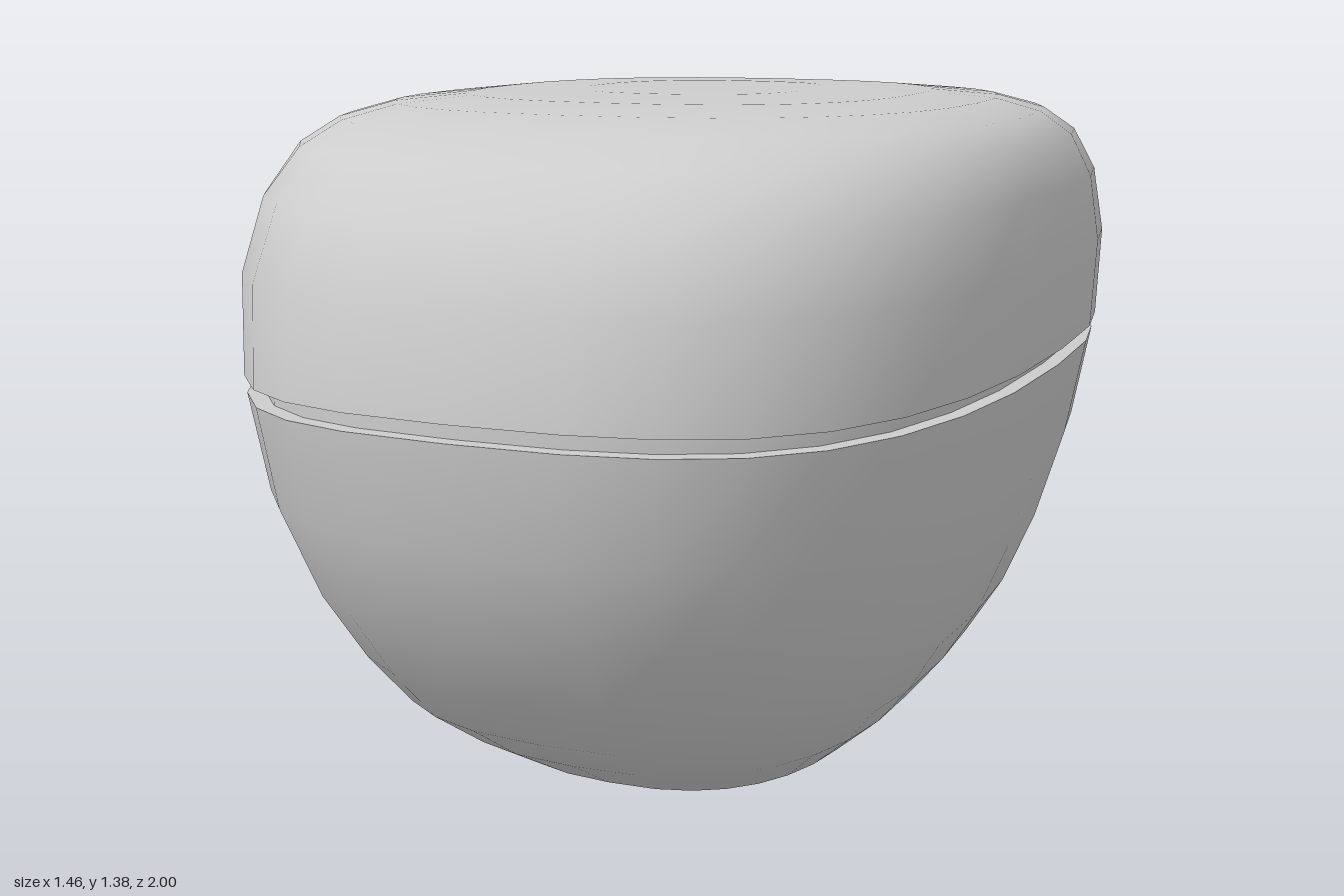
import * as THREE from 'three';

const SEGMENTS = 32;
const POWER = 2.5; // rounded-rectangle plan: 2 is an ellipse, higher is boxier

// Ring rows are [height, half width, half depth, seam dip]; a zero-width row is a pole.
const lower = [
  [0, 0, 0, 0], [0.035, 0.19, 0.24, 0], [0.11, 0.34, 0.44, 0],
  [0.2, 0.44, 0.59, 0], [0.285, 0.51, 0.71, 0], [0.39, 0.575, 0.8, 0],
  [0.525, 0.63, 0.895, 0.1], [0.7, 0.68, 0.975, 0.4], [0.886, 0.714, 1, 1],
];
const upper = [
  [0.916, 0.72, 1, 1], [1.085, 0.73, 0.975, 0.3], [1.21, 0.715, 0.9, 0],
  [1.29, 0.68, 0.8, 0], [1.333, 0.625, 0.705, 0], [1.358, 0.545, 0.585, 0],
  [1.37, 0.42, 0.44, 0], [1.375, 0.22, 0.24, 0], [1.375, 0, 0, 0],
];
const grooveBottom = [0.886, 0.685, 0.97, 1];
const grooveTop = [0.916, 0.685, 0.97, 1];

const soften = (v) => Math.sign(v) * Math.abs(v) ** (2 / POWER);

// Skin a stack of rings, each ordered so that the faces look outwards
function loft(rows) {
  const positions = [], index = [], starts = [];
  for (const [y, rx, rz, dip] of rows) {
    starts.push(positions.length / 3);
    const count = rx === 0 ? 1 : SEGMENTS;
    for (let i = 0; i < count; i++) {
      const t = (i / SEGMENTS) * Math.PI * 2;
      positions.push(
        rx * soften(Math.cos(t)),
        y - (rx ? 0.012 * dip * Math.sin(2 * t) ** 2 : 0),
        rz * soften(Math.sin(t)));
    }
  }
  const at = (r, i) => starts[r] + (rows[r][1] === 0 ? 0 : i % SEGMENTS);
  for (let r = 0; r < rows.length - 1; r++) {
    for (let i = 0; i < SEGMENTS; i++) {
      const a = at(r, i), b = at(r, i + 1), c = at(r + 1, i), d = at(r + 1, i + 1);
      if (a !== b) index.push(a, c, b);
      if (c !== d) index.push(b, c, d);
    }
  }
  const geometry = new THREE.BufferGeometry();
  geometry.setAttribute('position', new THREE.Float32BufferAttribute(positions, 3));
  geometry.setIndex(index);
  geometry.computeVertexNormals();
  return geometry;
}

export function createModel() {
  const model = new THREE.Group();
  model.name = 'splitCase';
  const grey = new THREE.MeshStandardMaterial({ color: 0xcccccc });
  grey.name = 'light grey';

  const add = (name, rows) => {
    const mesh = new THREE.Mesh(loft(rows), grey);
    mesh.name = name;
    model.add(mesh);
  };

  // Bowl-shaped base and flat-topped lid
  add('lowerShell', lower);
  add('upperShell', upper);

  // Recessed groove between them, split so its edges stay sharp
  add('lowerRim', [lower[lower.length - 1], grooveBottom]);
  add('grooveWall', [grooveBottom, grooveTop]);
  add('upperRim', [grooveTop, upper[0]]);

  return model;
}
